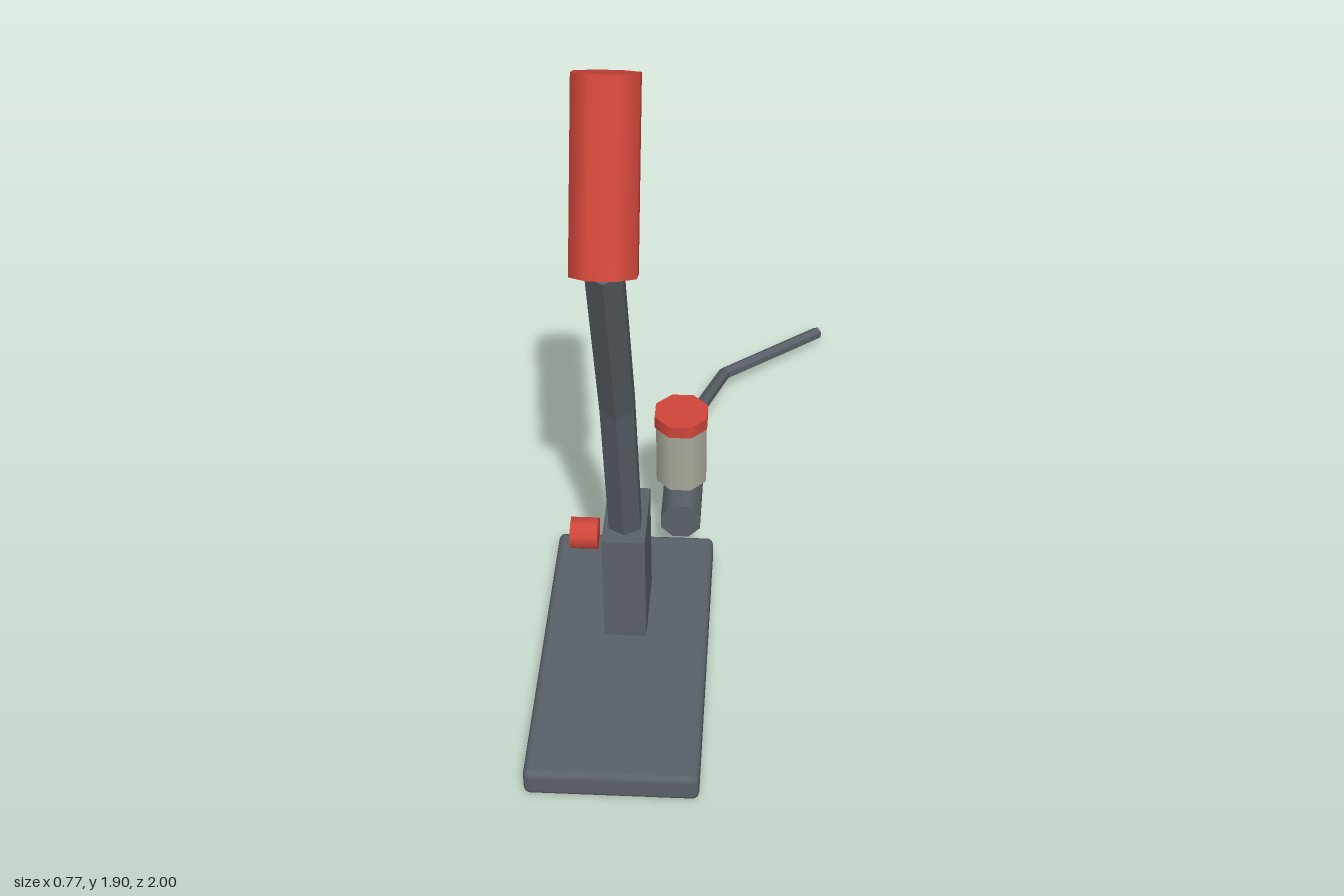
import * as THREE from 'three';
import { RoundedBoxGeometry } from 'three/addons/geometries/RoundedBoxGeometry.js';

const V = (x, y, z) => new THREE.Vector3(x, y, z);

// Faceted six-sided bar swept along a bent path, with closed ends
function sweep(points, radius, up) {
  const n = 6, pos = [], index = [];
  const dirs = points.slice(1).map((p, i) => p.clone().sub(points[i]).normalize());
  points.forEach((p, i) => {
    const t = (dirs[i - 1] || dirs[i]).clone().add(dirs[i] || dirs[i - 1]).normalize();
    const side = t.clone().cross(up).normalize();
    const v = side.clone().cross(t);
    for (let k = 0; k < n; k++) {
      const a = (k / n) * Math.PI * 2;
      const q = p.clone().addScaledVector(v, radius * Math.cos(a)).addScaledVector(side, radius * Math.sin(a));
      pos.push(q.x, q.y, q.z);
    }
  });
  for (let i = 0; i < points.length - 1; i++) {
    for (let k = 0; k < n; k++) {
      const a = i * n + k, b = i * n + (k + 1) % n;
      index.push(a, b, a + n, b, b + n, a + n);
    }
  }
  const last = (points.length - 1) * n;
  for (let k = 1; k < n - 1; k++) index.push(0, k + 1, k, last, last + k, last + k + 1);
  const indexed = new THREE.BufferGeometry();
  indexed.setAttribute('position', new THREE.Float32BufferAttribute(pos, 3));
  indexed.setIndex(index);
  const g = indexed.toNonIndexed();
  g.computeVertexNormals();
  return g;
}

// Eight-sided cylinder measured across its flats, running from one point to another
function octagon(from, to, width) {
  const r = width / 2 / Math.cos(Math.PI / 8);
  const dir = to.clone().sub(from);
  const g = new THREE.CylinderGeometry(r, r, dir.length(), 8);
  g.rotateY(Math.PI / 8);
  g.applyQuaternion(new THREE.Quaternion().setFromUnitVectors(V(0, 1, 0), dir.normalize()));
  const c = from.clone().add(to).multiplyScalar(0.5);
  return g.translate(c.x, c.y, c.z);
}

export function createModel() {
  const steel = new THREE.MeshStandardMaterial({ name: 'dark steel', color: 0x5a6068 });
  const red = new THREE.MeshStandardMaterial({ name: 'red', color: 0xd0463a });
  const pale = new THREE.MeshStandardMaterial({ name: 'pale grey', color: 0xaaa99c });

  const model = new THREE.Group();
  model.name = 'leverAssembly';
  const add = (name, geometry, material) => {
    const mesh = new THREE.Mesh(geometry, material);
    mesh.name = name;
    model.add(mesh);
  };

  // Base plate and upright block
  add('basePlate', new RoundedBoxGeometry(0.45, 0.08, 0.91, 2, 0.018).translate(-0.163, 0.04, 0.543), steel);
  add('pivotBlock', new THREE.BoxGeometry(0.115, 0.345, 0.222).translate(-0.163, 0.248, 0.389), steel);

  // Bent lever with its grip and side button
  add('lever', sweep([V(-0.163, 0.40, 0.415), V(-0.163, 0.925, 0.545), V(-0.163, 1.475, 0.755)], 0.049, V(0, 0, 1)), steel);
  add('grip', octagon(V(-0.163, 1.46, 0.768), V(-0.163, 1.87, 0.58), 0.152), red);
  add('button', octagon(V(-0.24, 0.347, 0.385), V(-0.315, 0.347, 0.385), 0.083), red);

  // Fluid reservoir and cap
  add('reservoir', octagon(V(-0.03, 0.31, 0.085), V(-0.03, 0.503, 0.085), 0.139), pale);
  add('reservoirCap', octagon(V(-0.03, 0.502, 0.085), V(-0.03, 0.54, 0.085), 0.146), red);

  // Horizontal cylinder with the line leaving its back end
  add('masterCylinder', octagon(V(-0.03, 0.195, 0.158), V(-0.03, 0.195, -0.3), 0.111), steel);
  add('hose', sweep([V(-0.028, 0.198, -0.29), V(0.066, 0.083, -0.69), V(0.372, 0.043, -0.986)], 0.02, V(0, 1, 0)), steel);

  return model;
}
